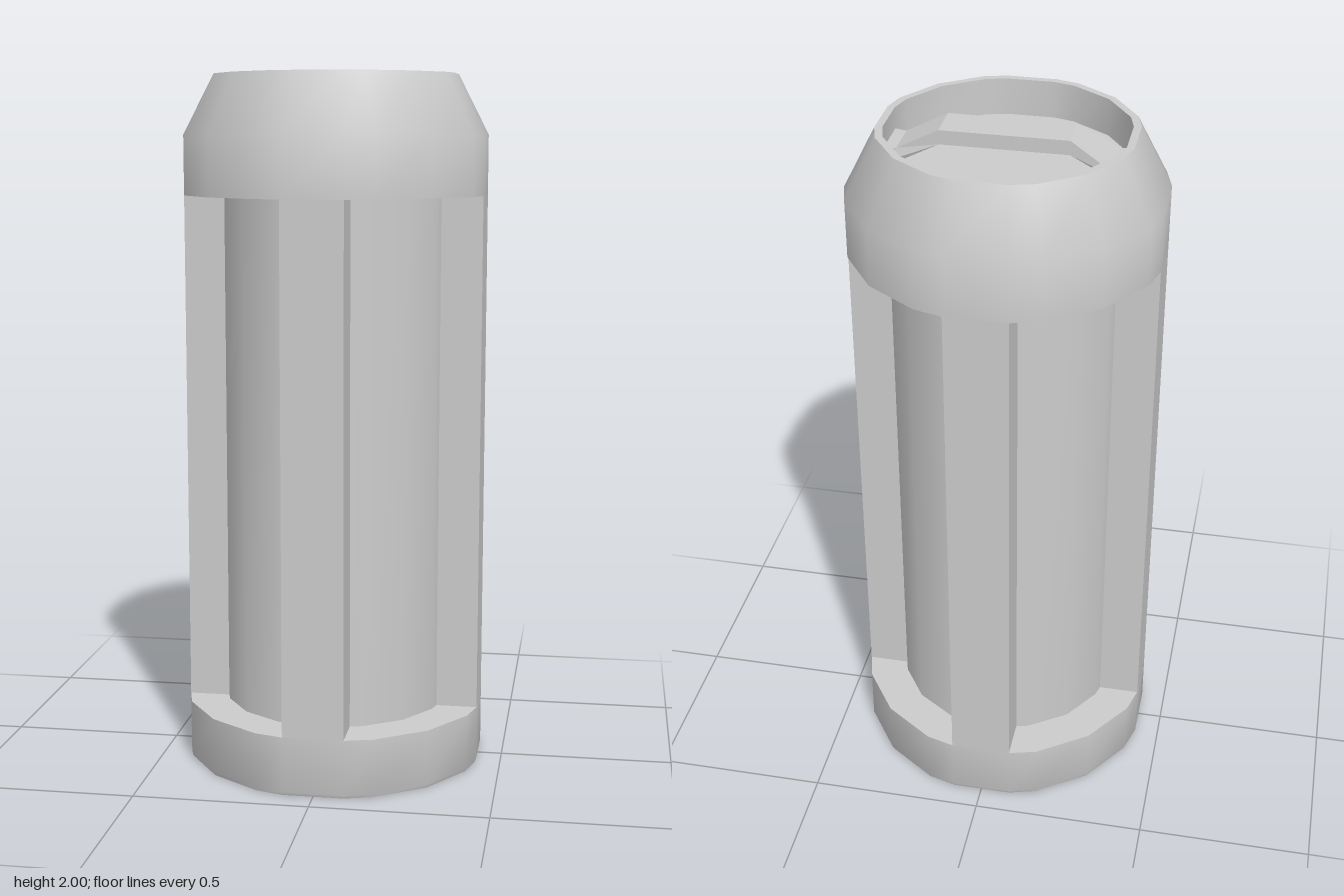
import * as THREE from 'three';
import { toCreasedNormals } from 'three/addons/utils/BufferGeometryUtils.js';

const material = new THREE.MeshStandardMaterial({ color: 0xcccccc });

// Repeat one quadrant of a cross-section four times around the axis.
function fourfold(quadrant) {
  const points = [];
  for (let k = 0; k < 4; k++) {
    for (const [x, y] of quadrant) {
      points.push(new THREE.Vector2(x, y).rotateAround(new THREE.Vector2(), k * Math.PI / 2));
    }
  }
  return points;
}

// Stack a cross-section along [scale, height] steps; scale 0 closes at the axis.
function loft(section, profile) {
  const positions = [];
  const n = section.length;
  const at = (i, j) => {
    const [s, y] = profile[i], p = section[j % n];
    return [p.x * s, y, -p.y * s];
  };
  for (let i = 0; i < profile.length - 1; i++) {
    for (let j = 0; j < n; j++) {
      const a = at(i, j), b = at(i, j + 1), c = at(i + 1, j + 1), d = at(i + 1, j);
      if (profile[i][0] > 0) positions.push(...a, ...b, ...c);
      if (profile[i + 1][0] > 0) positions.push(...a, ...c, ...d);
      else if (profile[i][0] > 0) continue;
    }
  }
  const geometry = new THREE.BufferGeometry();
  geometry.setAttribute('position', new THREE.Float32BufferAttribute(positions, 3));
  return toCreasedNormals(geometry, 0.6);
}

export function createModel() {
  const group = new THREE.Group();
  const add = (name, geometry) => {
    const mesh = new THREE.Mesh(geometry, material);
    mesh.name = name;
    group.add(mesh);
  };

  // Outer rim, and the ribbed shaft with its recessed panels
  const rim = fourfold([[0.43, 0.087], [0.408, 0.167], [0.31, 0.31], [0.167, 0.408], [0.087, 0.43]]);
  const ribbed = fourfold([
    [0.43, 0.087], [0.312, 0.087], [0.302, 0.122], [0.23, 0.23],
    [0.122, 0.302], [0.087, 0.312], [0.087, 0.43],
  ]);

  // Base with a recessed underside and a tapered central boss
  add('base', loft(rim, [
    [0, 0.04], [0.54, 0.04], [0.63, 0.1], [0.83, 0.1], [0.86, 0],
    [0.99, 0], [1, 0.01], [1, 0.17], [0, 0.17],
  ]));
  add('ribbedShaft', loft(ribbed, [[1, 0.17], [1, 1.66]]));

  // Tapered cap with a sunken top
  add('cap', loft(rim, [
    [0, 1.66], [1, 1.66], [1, 1.83], [0.8, 2], [0.752, 2], [0.752, 1.895], [0, 1.895],
  ]));

  // Arched strap handle across the sunken top
  const top = [[-0.324, 1.94], [-0.29, 1.94], [-0.175, 2], [0.175, 2], [0.29, 1.94], [0.324, 1.94]];
  const under = top.map(([x, y]) => [x, y - 0.04]).reverse();
  const outline = [...top, ...under].map(([x, y]) => new THREE.Vector2(x, y));
  const strap = new THREE.ExtrudeGeometry(new THREE.Shape(outline), { depth: 0.114, bevelEnabled: false });
  strap.translate(0, 0, -0.057);
  // Flare the ends to meet the wall
  const pos = strap.attributes.position;
  for (let i = 0; i < pos.count; i++) {
    if (Math.abs(pos.getX(i)) > 0.3) pos.setZ(i, pos.getZ(i) * 1.14);
  }
  strap.computeVertexNormals();
  add('strapHandle', strap);

  return group;
}
